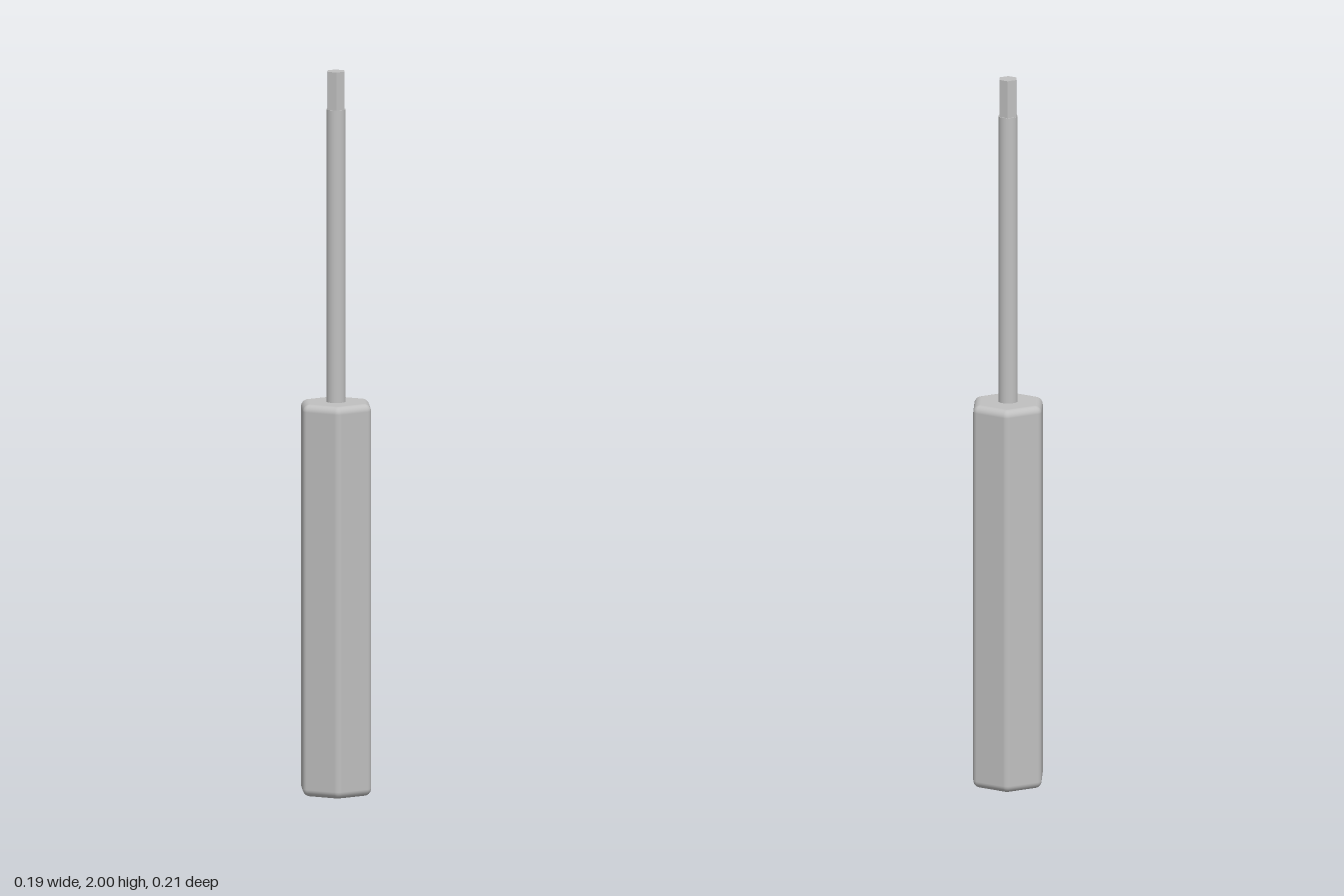
import * as THREE from 'three';

// Hexagonal prism with every edge rounded by radius r; corners point along z.
function roundedHexPrism(apothem, height, r, steps) {
  const core = (apothem - r) / Math.cos(Math.PI / 6);
  const pos = [], nor = [], idx = [];
  const ring = 6 * (steps + 1);

  // Rings run up the bottom fillet, then the top fillet
  const rows = [];
  for (let j = 0; j <= steps; j++) rows.push([-Math.PI / 2 * (1 - j / steps), r]);
  for (let j = 0; j <= steps; j++) rows.push([Math.PI / 2 * j / steps, height - r]);

  for (const [lat, y] of rows) {
    for (let k = 0; k < 6; k++) {
      const corner = k * Math.PI / 3;
      for (let s = 0; s <= steps; s++) {
        const a = corner + (s / steps - 0.5) * Math.PI / 3;
        const nx = Math.cos(lat) * Math.sin(a), ny = Math.sin(lat), nz = Math.cos(lat) * Math.cos(a);
        pos.push(core * Math.sin(corner) + r * nx, y + r * ny, core * Math.cos(corner) + r * nz);
        nor.push(nx, ny, nz);
      }
    }
  }
  for (let j = 0; j < rows.length - 1; j++) {
    for (let i = 0; i < ring; i++) {
      const a = j * ring + i, b = j * ring + (i + 1) % ring;
      idx.push(a, b, b + ring, a, b + ring, a + ring);
    }
  }

  // Flat end caps
  const bottom = pos.length / 3, top = bottom + 1, last = (rows.length - 1) * ring;
  pos.push(0, 0, 0, 0, height, 0);
  nor.push(0, -1, 0, 0, 1, 0);
  for (let i = 0; i < ring; i++) {
    const n = (i + 1) % ring;
    idx.push(bottom, n, i, top, last + i, last + n);
  }

  const g = new THREE.BufferGeometry();
  g.setAttribute('position', new THREE.Float32BufferAttribute(pos, 3));
  g.setAttribute('normal', new THREE.Float32BufferAttribute(nor, 3));
  g.setIndex(idx);
  return g;
}

export function createModel() {
  const group = new THREE.Group();
  group.name = 'hexDriver';
  const steel = new THREE.MeshStandardMaterial({ color: 0xc0c0c0 });
  steel.name = 'light grey';

  const add = (name, geometry, y = 0) => {
    const mesh = new THREE.Mesh(geometry, steel);
    mesh.name = name;
    mesh.position.y = y;
    group.add(mesh);
  };

  const handleTop = 1.085, tipStart = 1.895, shaftRadius = 0.0265;

  // Handle
  add('handle', roundedHexPrism(0.0935, handleTop, 0.02, 6));

  // Round shaft
  const shaftLength = tipStart - handleTop;
  add('shaft', new THREE.CylinderGeometry(shaftRadius, shaftRadius, shaftLength, 48), handleTop + shaftLength / 2);

  // Faceted hex tip
  const tipLength = 2 - tipStart;
  const tip = new THREE.CylinderGeometry(shaftRadius, shaftRadius, tipLength, 6).toNonIndexed();
  tip.computeVertexNormals();
  add('hexTip', tip, tipStart + tipLength / 2);

  return group;
}
